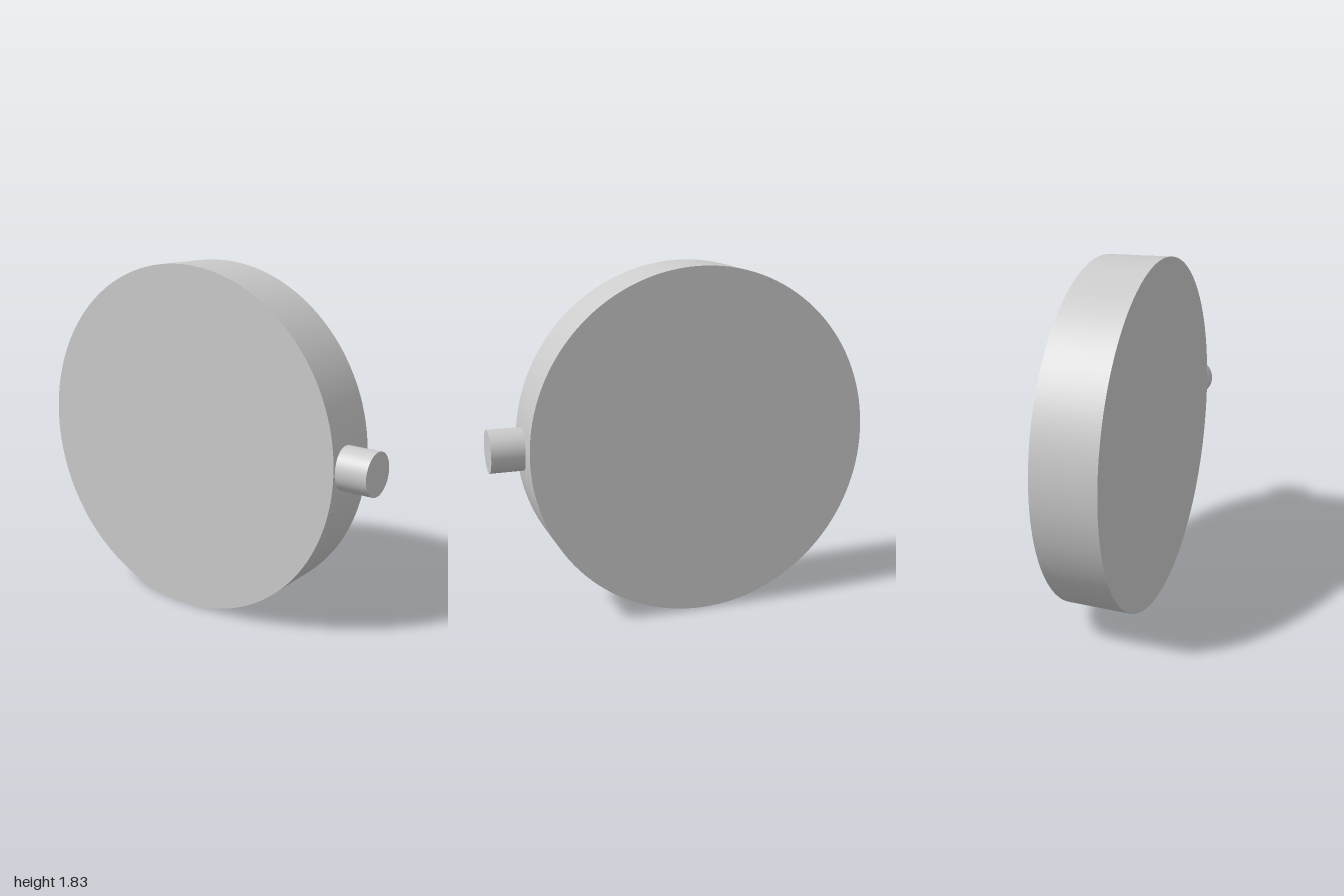
import * as THREE from 'three';

export function createModel() {
  const group = new THREE.Group();
  const material = new THREE.MeshStandardMaterial({ color: 0xcccccc });

  // Upright round body, tapering very slightly towards the back
  const disc = new THREE.Mesh(new THREE.CylinderGeometry(0.917, 0.911, 0.332, 128), material);
  disc.name = 'discBody';
  disc.rotation.x = Math.PI / 2;
  disc.position.set(-0.083, 0.917, 0);
  group.add(disc);

  // Short peg on the rim, set a little forward, its root sunk into the body
  const peg = new THREE.Mesh(new THREE.CylinderGeometry(0.111, 0.111, 0.2, 64), material);
  peg.name = 'sidePeg';
  peg.rotation.z = -Math.PI / 2;
  peg.position.set(0.9, 0.919, 0.043);
  group.add(peg);

  return group;
}
